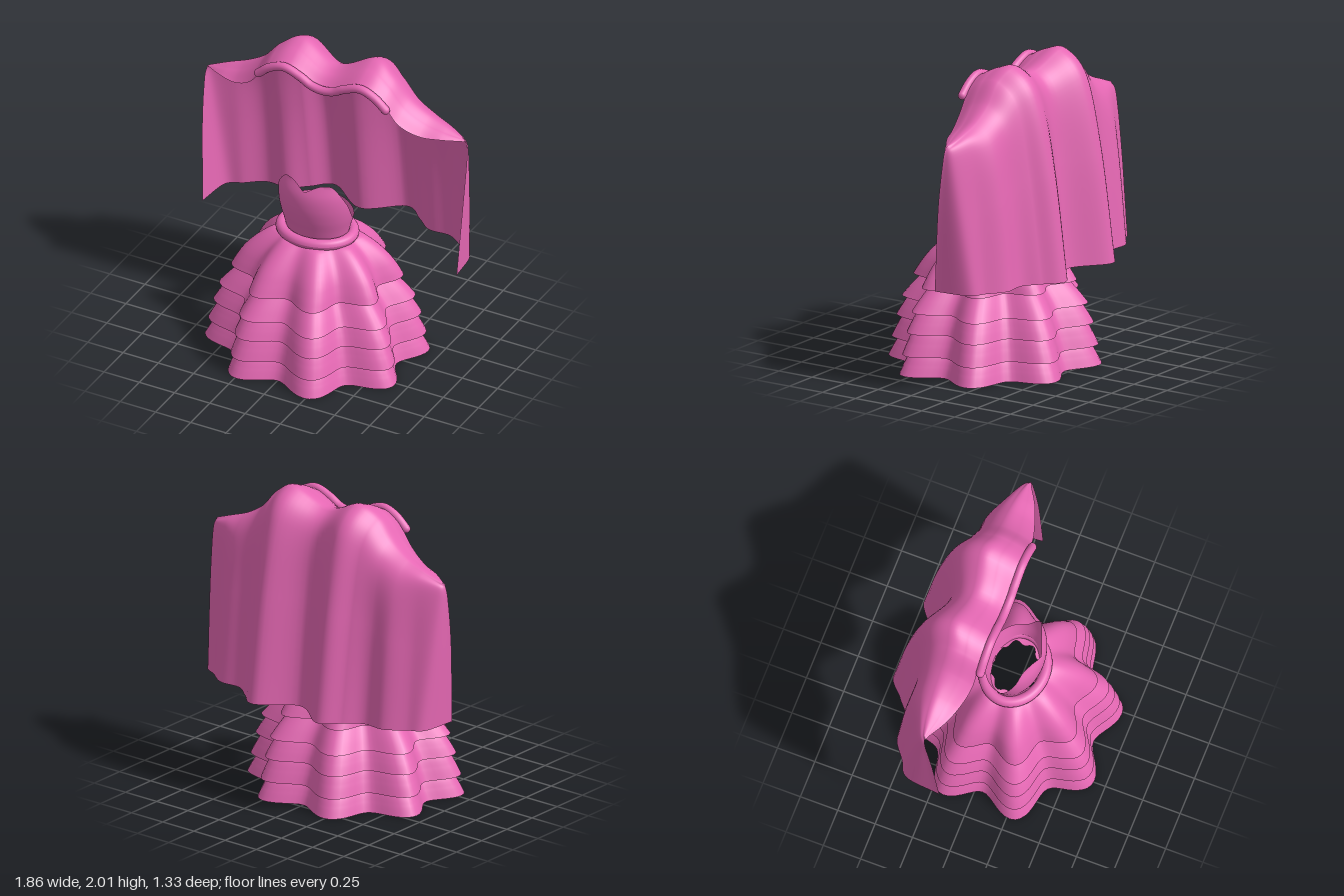
import * as THREE from 'three';
import { ParametricGeometry } from 'three/addons/geometries/ParametricGeometry.js';

const V = (x, y, z) => new THREE.Vector3(x, y, z);
const spline = (pts) => new THREE.CatmullRomCurve3(pts, false, 'catmullrom', 0.5);
const CENTRE_Z = 0.05; // axis of the dress

const pink = new THREE.MeshStandardMaterial({ color: 0xe668b4, side: THREE.DoubleSide });

function mesh(name, geometry) {
  const m = new THREE.Mesh(geometry, pink);
  m.name = name;
  return m;
}

// Eight-lobed ruffled surface swept round a profile of [half width, y]
function ruffle(profile) {
  const curve = spline(profile.map(([w, y]) => V(w / 1.107, y, 0)));
  return new ParametricGeometry((u, v, target) => {
    const p = curve.getPoint(v);
    const a = u * Math.PI * 2;
    const waist = THREE.MathUtils.clamp((p.y - 0.535) / 0.3, 0, 1);
    const r = p.x * (1 - (0.12 - 0.04 * waist) * Math.cos(8 * a));
    target.set(Math.sin(a) * r * (1.07 + 0.1 * waist), p.y, CENTRE_Z + Math.cos(a) * r);
  }, 128, 12);
}

function skirt() {
  const group = new THREE.Group();
  group.name = 'skirt';
  group.add(mesh('topTier', ruffle([
    [0.505, 0.535], [0.468, 0.6], [0.42, 0.67], [0.36, 0.735],
    [0.295, 0.79], [0.24, 0.822], [0.16, 0.835],
  ])));
  // Lower tiers: hem width, hem height, width and height where the tier above covers it
  const tiers = [
    [0.575, 0.39, 0.45, 0.535],
    [0.61, 0.265, 0.53, 0.39],
    [0.64, 0.125, 0.565, 0.265],
    [0.66, 0, 0.59, 0.125],
  ];
  tiers.forEach(([w0, y0, w1, y1], i) => {
    group.add(mesh('lowerTier' + (i + 1), ruffle([
      [w0, y0], [(w0 + w1) / 2 + 0.004, (y0 + y1) / 2], [w1, y1], [w1 - 0.07, y1 + 0.07],
    ])));
  });
  return group;
}

// Open strapless bodice with a sweetheart neckline and a low back
function bodice() {
  const neckline = spline([1.2, 1.25, 1.245, 1.14, 1.0, 0.985, 0.99, 1.0, 1.005].map((y, i) => V(i, y, 0)));
  // Half width and half depth at evenly spaced heights
  const girth = spline([
    [0.2, 0.14], [0.222, 0.16], [0.245, 0.18], [0.257, 0.19], [0.256, 0.183], [0.24, 0.15],
  ].map(([w, d]) => V(w, d, 0)));
  return mesh('bodice', new ParametricGeometry((u, v, target) => {
    const a = (u * 2 - 1) * Math.PI;
    const top = neckline.getPoint(Math.abs(a) / Math.PI).y;
    const y = THREE.MathUtils.lerp(0.82, top, v);
    const g = girth.getPoint(Math.min(1, (y - 0.82) / 0.435));
    target.set(Math.sin(a) * g.x, y, CENTRE_Z + Math.cos(a) * g.y);
  }, 96, 20));
}

function belt() {
  const g = new THREE.TorusGeometry(0.235, 0.036, 16, 80);
  g.rotateX(Math.PI / 2);
  const p = g.attributes.position;
  // Squash the ring to an oval without thinning the tube
  for (let i = 0; i < p.count; i++) {
    const r = Math.hypot(p.getX(i), p.getZ(i));
    p.setZ(i, p.getZ(i) * (r - 0.045) / r);
  }
  g.computeVertexNormals();
  g.translate(0, 0.843, CENTRE_Z);
  return mesh('belt', g);
}

// Cape sheet: half stations of top x, hem x, then y, z pairs from the front edge over the top to the hem
function cape() {
  const half = [
    [0, 0, 1.825, -0.03, 1.885, -0.12, 1.9, -0.24, 1.76, -0.36, 1.34, -0.43, 0.67, -0.5],
    [0.25, 0.25, 1.92, -0.03, 1.98, -0.15, 2.0, -0.28, 1.84, -0.44, 1.37, -0.56, 0.67, -0.66],
    [0.4, 0.39, 1.865, -0.03, 1.92, -0.13, 1.93, -0.25, 1.78, -0.39, 1.34, -0.48, 0.67, -0.57],
    [0.52, 0.5, 1.72, -0.035, 1.785, -0.13, 1.8, -0.25, 1.67, -0.37, 1.3, -0.43, 0.67, -0.49],
    [0.65, 0.65, 1.65, -0.07, 1.7, -0.15, 1.72, -0.25, 1.6, -0.36, 1.25, -0.43, 0.67, -0.49],
    [0.78, 0.77, 1.635, -0.12, 1.66, -0.17, 1.67, -0.24, 1.58, -0.31, 1.2, -0.36, 0.67, -0.41],
    [0.89, 0.87, 1.622, -0.185, 1.63, -0.2, 1.625, -0.22, 1.55, -0.25, 1.2, -0.29, 0.67, -0.34],
    [0.918, 0.9, 1.62, -0.195, 1.617, -0.197, 1.61, -0.2, 1.52, -0.19, 1.2, -0.15, 0.67, -0.11],
  ];
  const column = ([x0, x1, ...yz], side) => spline([0, 1, 2, 3, 4, 5].map((i) => {
    const t = Math.max(0, i - 2) / 3;
    const bulge = x0 > 0.8 ? 0.022 * Math.sin(Math.PI * t) : 0;
    return V(side * (THREE.MathUtils.lerp(x0, x1, t) + bulge), yz[2 * i], yz[2 * i + 1]);
  }));
  const columns = [
    ...half.slice(1).reverse().map((s) => column(s, -1)),
    ...half.map((s) => column(s, 1)),
  ];
  return mesh('cape', new ParametricGeometry((u, v, target) => {
    target.copy(spline(columns.map((c) => c.getPoint(v))).getPoint(u));
  }, 112, 45));
}

// Rolled trim along the cape's front edge, with rounded ends
function trim() {
  const group = new THREE.Group();
  group.name = 'capeTrim';
  const right = [[0.45, 1.82], [0.37, 1.885], [0.27, 1.92], [0.16, 1.885], [0.08, 1.842]];
  const path = spline([
    ...right.map(([x, y]) => V(-x, y, -0.01)),
    V(0, 1.828, -0.01),
    ...right.reverse().map(([x, y]) => V(x, y, -0.01)),
  ]);
  group.add(mesh('trimRoll', new THREE.TubeGeometry(path, 80, 0.028, 14)));
  for (const side of [-1, 1]) {
    const end = mesh('trimEnd', new THREE.SphereGeometry(0.028, 14, 10));
    end.position.set(side * 0.45, 1.82, -0.01);
    group.add(end);
  }
  return group;
}

export function createModel() {
  const model = new THREE.Group();
  model.name = 'dressWithCape';
  model.add(skirt(), belt(), bodice(), cape(), trim());
  return model;
}
